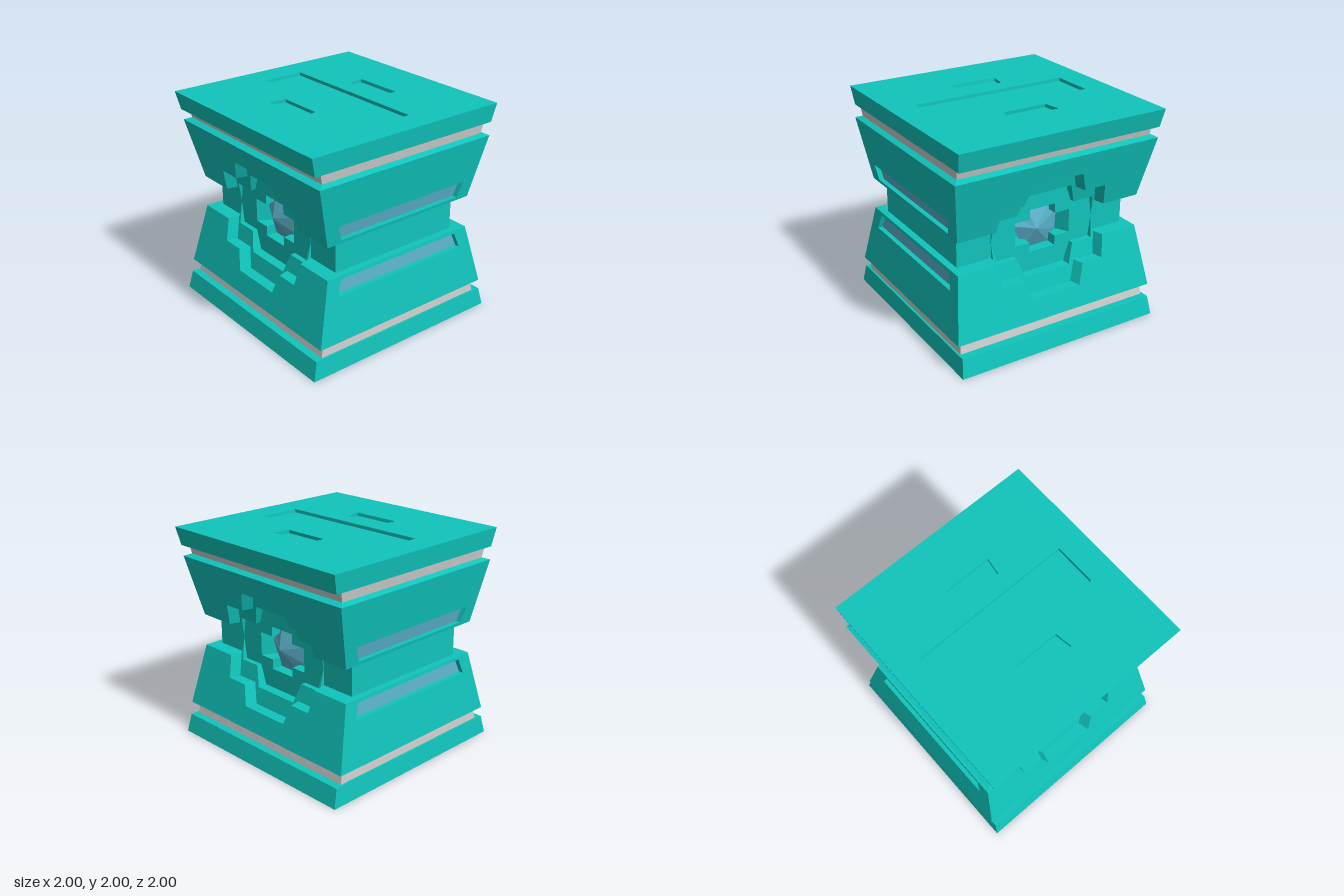
import * as THREE from 'three';

const mat = (color) => new THREE.MeshStandardMaterial({ color, flatShading: true });
const teal = mat(0x10c4bb), grey = mat(0xcccccc), blue = mat(0x5ab0c8);

const mesh = (name, geometry, material = teal) => {
  const m = new THREE.Mesh(geometry, material);
  m.name = name;
  return m;
};

// Outer planes of the tapered body, for the upper half
const sideX = (y) => 0.915 + 0.149 * (y - 1.15);
const frontZ = (y) => 0.79 + 0.2456 * (y - 1.15);
const ringZ = (y) => 0.655 + 0.235 * (y - 1);

// Polygon from a right-hand chain of points, mirrored in x
const mirrored = (pts) => [...pts, ...pts.map(([x, y]) => [-x, y]).reverse()];
const toPts = (pts) => pts.map(([x, y]) => new THREE.Vector2(x, y));

// Slab extruded one unit, then moved vertex by vertex with fn(x, y, t) -> [x, y, z]
function slab(outline, holes, fn) {
  const shape = new THREE.Shape(toPts(outline));
  holes.forEach((h) => shape.holes.push(new THREE.Path(toPts(h))));
  const geo = new THREE.ExtrudeGeometry(shape, { depth: 1, bevelEnabled: false });
  const p = geo.attributes.position;
  for (let i = 0; i < p.count; i++) p.setXYZ(i, ...fn(p.getX(i), p.getY(i), p.getZ(i)));
  geo.computeVertexNormals();
  return geo;
}

// Closed stack of rectangles [y, halfX, halfZ]
function rectLoft(rings) {
  const pos = [], idx = [];
  rings.forEach(([y, x, z]) => pos.push(-x, y, z, x, y, z, x, y, -z, -x, y, -z));
  for (let r = 0; r < rings.length - 1; r++) {
    for (let k = 0; k < 4; k++) {
      const a = r * 4 + k, b = r * 4 + (k + 1) % 4;
      idx.push(a, b, b + 4, a, b + 4, a + 4);
    }
  }
  const n = (rings.length - 1) * 4;
  idx.push(0, 2, 1, 0, 3, 2, n, n + 1, n + 2, n, n + 2, n + 3);
  const indexed = new THREE.BufferGeometry();
  indexed.setAttribute('position', new THREE.Float32BufferAttribute(pos, 3));
  indexed.setIndex(idx);
  const geo = indexed.toNonIndexed();
  geo.computeVertexNormals();
  return geo;
}

// Front and one side of the upper half
function quarter() {
  const g = new THREE.Group();
  const inset = 0.05;

  // Waist wall with the cross-shaped socket
  const socket = mirrored([
    [0.28, 1], [0.85, 1], [0.85, 1.15], [sideX(1.15) - inset, 1.15], [sideX(1.72) - inset, 1.72],
  ]).concat([[-0.28, 1.11], [-0.13, 1.11], [-0.13, 1.2], [0.13, 1.2], [0.13, 1.11], [0.28, 1.11]]);
  g.add(mesh('waistWall', slab(socket, [], (x, y, t) =>
    [Math.abs(x) < 0.3 && Math.abs(x) > 0.2 ? x - Math.sign(x) * 0.08 * (1 - t) : x, y, 0.5 + 0.155 * t])));

  // Stepped ring around the socket
  const body = [[sideX(1.15) - inset, 1.15], [sideX(1.72) - inset, 1.72]];
  const ring = mirrored([
    [0.23, 1.38], [0.29, 1.2], [0.49, 1.2], [0.52, 1], [0.52, 1.15], ...body,
  ]);
  g.add(mesh('steppedRing', slab(ring, [], (x, y, t) => [x, y, 0.655 + (ringZ(y) - 0.655) * t])));

  // Sloped front with the outer stepped opening, its walls slightly drafted
  const front = mirrored([[0.25, 1.53], [0.31, 1.35], [0.52, 1.35], [0.55, 1.15], ...body]);
  g.add(mesh('slopedFront', slab(front, [], (x, y, t) => [
    Math.abs(x) < 0.6 ? x - Math.sign(x) * 0.025 * (1 - t) : x, y,
    ringZ(y) + (frontZ(y) - ringZ(y)) * t,
  ])));

  // Side cheek with its long slot and the inlay inside
  const slot = mirrored([[0.65, 1.18], [0.7, 1.32]]);
  const cheek = mirrored([[frontZ(1.15), 1.15], [frontZ(1.72), 1.72]]);
  g.add(mesh('sideCheek', slab(cheek, [slot], (u, y, t) => [sideX(y) - inset * (1 - t), y, -u])));
  g.add(mesh('slotInlay', slab(slot, [], (u, y, t) => [sideX(y) - inset - 0.01 + 0.015 * t, y, -u]), blue));
  return g;
}

// Upper half of the body, without the end cap
function halfBody() {
  const g = new THREE.Group();
  g.add(mesh('core', rectLoft([
    [1, 0.85, 0.5], [1.15, 0.85, 0.5], [1.15, sideX(1.15) - 0.05, 0.5], [1.72, sideX(1.72) - 0.05, 0.5],
  ])));
  g.add(mesh('shoulderBevel', rectLoft([[1.72, 1, 0.93], [1.74, 0.95, 0.87]])));
  g.add(mesh('grooveBand', rectLoft([[1.74, 0.95, 0.87], [1.83, 0.96, 0.89]]), grey));
  for (const turn of [0, Math.PI]) {
    const q = quarter();
    q.name = turn ? 'backQuarter' : 'frontQuarter';
    q.rotation.y = turn;
    g.add(q);
  }
  return g;
}

// Faceted crystal with an off-centre tip
function crystal() {
  const rim = [[0.13, 1.17], [0.02, 1.2], [-0.12, 1.21], [-0.18, 1.09], [-0.24, 1.03], [-0.18, 0.91],
    [-0.13, 0.8], [0.0, 0.79], [0.13, 0.8], [0.2, 0.9], [0.21, 1.07]];
  const pos = [];
  rim.forEach(([x, y], i) => {
    const [u, v] = rim[(i + 1) % rim.length];
    const a = [x, y, 0.55], b = [u, v, 0.55];
    const c = [x * 0.75, 1 + (y - 1) * 0.75, 0.49], d = [u * 0.75, 1 + (v - 1) * 0.75, 0.49];
    pos.push(-0.05, 1, 0.645, ...a, ...b, ...a, ...c, ...d, ...a, ...d, ...b);
  });
  const geo = new THREE.BufferGeometry();
  geo.setAttribute('position', new THREE.Float32BufferAttribute(pos, 3));
  geo.computeVertexNormals();
  return geo;
}

export function createModel() {
  const root = new THREE.Group();
  root.name = 'crystalBlock';

  // Upper half and its mirror image below
  const upper = halfBody();
  upper.name = 'upperBody';
  const lower = halfBody();
  lower.name = 'lowerBody';
  lower.scale.y = -1;
  lower.position.y = 2;
  root.add(upper, lower);

  // End caps
  root.add(mesh('baseCap', rectLoft([[0, 1, 1], [0.17, 0.98, 0.96]])));
  root.add(mesh('topCap', rectLoft([[1.83, 0.98, 0.96], [1.97, 0.9965, 0.993]])));

  // Top plate with a long recess and two small ones
  const notch = (s) => mirrored([[0.235, 0.52 * s], [0.21, 0.36 * s]]);
  const plate = slab(mirrored([[1, -1], [1, 1]]),
    [mirrored([[0.75, -0.2], [0.75, 0.2]]), notch(1), notch(-1)],
    (x, y, t) => [x * (0.9965 + 0.0035 * t), 1.97 + 0.03 * t, -y * (0.993 + 0.007 * t)]);
  root.add(mesh('topPlate', plate));

  // Crystals in the front and back sockets
  for (const turn of [0, Math.PI]) {
    const c = mesh(turn ? 'backCrystal' : 'frontCrystal', crystal(), blue);
    c.rotation.y = turn;
    root.add(c);
  }
  return root;
}
